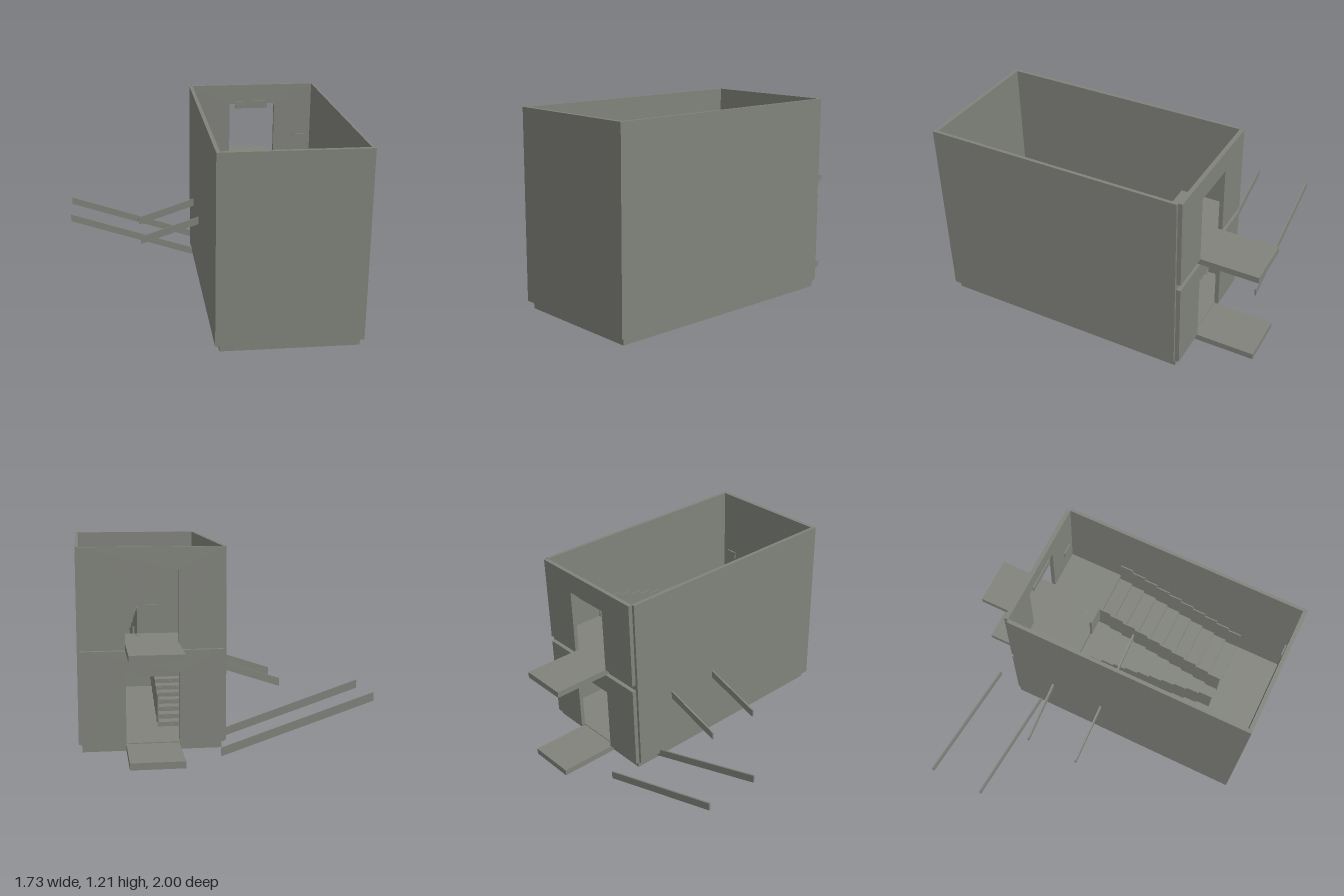
import * as THREE from 'three';

const FLOOR = 0.045, MID = 0.345, UPPER = 0.645, TOP = 1.21;
const STEPS = 10, Z_BACK = -0.235, Z_FRONT = 0.67;
const DOOR_L = 0.265, DOOR_R = 0.58;

export function createModel() {
  const model = new THREE.Group();
  const concrete = new THREE.MeshStandardMaterial({ color: 0x80827b });
  concrete.name = 'concreteGrey';

  // Box given by its limits on each axis
  const box = (name, x0, x1, y0, y1, z0, z1, parent = model) => {
    const mesh = new THREE.Mesh(new THREE.BoxGeometry(x1 - x0, y1 - y0, z1 - z0), concrete);
    mesh.position.set((x0 + x1) / 2, (y0 + y1) / 2, (z0 + z1) / 2);
    mesh.name = name;
    parent.add(mesh);
    return mesh;
  };

  // Slabs, landings and entrance platforms
  box('baseSlab', 0.01, 0.84, 0, FLOOR, -0.605, 0.975);
  box('entrancePlatform', DOOR_L, DOOR_R, 0, 0.04, -1, -0.605);
  box('upperLanding', 0.005, 0.84, 0.605, UPPER, -0.605, Z_BACK);
  box('upperPlatform', DOOR_L, DOOR_R, 0.605, UPPER, -1, -0.605);
  box('middleLanding', 0.005, 0.84, MID - 0.04, MID, Z_FRONT, 0.975);

  // Outer walls
  box('rightWall', -0.018, 0.005, FLOOR, TOP, -0.605, 1);
  box('leftWall', 0.84, 0.86, FLOOR, TOP, -0.605, 1);
  box('frontWall', 0.005, 0.84, FLOOR, TOP, 0.975, 1);

  // Back wall: one panel with a doorway per storey
  const backPanel = (name, y0, y1, doorTop) => {
    const s = new THREE.Shape();
    s.moveTo(0, y0);
    for (const [x, y] of [[DOOR_L, y0], [DOOR_L, doorTop], [DOOR_R, doorTop], [DOOR_R, y0],
      [0.845, y0], [0.845, y1], [0, y1]]) s.lineTo(x, y);
    const mesh = new THREE.Mesh(
      new THREE.ExtrudeGeometry(s, { depth: 0.027, bevelEnabled: false }), concrete);
    mesh.position.z = -0.632;
    mesh.name = name;
    model.add(mesh);
    // Bar hung under the door head
    box('doorHeadBar', 0.305, 0.53, doorTop - 0.03, doorTop + 0.02, -0.605, -0.597);
  };
  backPanel('lowerBackWall', FLOOR, 0.605, 0.475);
  backPanel('upperBackWall', UPPER, TOP, 1.075);

  // Flights: thin treads and risers, with a stepped balustrade along both sides
  const run = (Z_FRONT - Z_BACK) / STEPS;
  const rise = (MID - FLOOR) / (STEPS + 1);
  const flight = (name, x0, x1, startY, startZ, dir) => {
    const g = new THREE.Group();
    g.name = name;
    for (let i = 0; i < STEPS; i++) {
      const y = startY + rise * (i + 1);
      const za = startZ + dir * run * i, zb = za + dir * run;
      const z0 = Math.min(za, zb), z1 = Math.max(za, zb);
      box('tread', x0, x1, y - 0.01, y, z0, z1, g);
      box('riser', x0, x1, y - rise, y - 0.01, za - 0.003, za + 0.003, g);
      for (const x of [x0, x1 - 0.008])
        box('balustradePanel', x, x + 0.008, y, y + 0.18, z0, z1, g);
    }
    model.add(g);
  };
  flight('lowerFlight', 0.01, 0.365, FLOOR, Z_BACK, 1);
  flight('upperFlight', 0.48, 0.835, MID, Z_FRONT, -1);
  box('landingGuard', 0.36, 0.485, UPPER, UPPER + 0.18, Z_BACK, Z_BACK + 0.015);

  // Sloping stringers that run out through the side
  const stringer = (name, xa, ya, xb, yb, z) => {
    const s = new THREE.Shape();
    s.moveTo(xa, ya);
    s.lineTo(xb, yb);
    s.lineTo(xb, yb + 0.05);
    s.lineTo(xa, ya + 0.05);
    const mesh = new THREE.Mesh(
      new THREE.ExtrudeGeometry(s, { depth: 0.01, bevelEnabled: false }), concrete);
    mesh.position.z = z - 0.005;
    mesh.name = name;
    model.add(mesh);
  };
  for (const z of [-0.797, -0.44]) stringer('lowerStringer', -0.865, 0.305, 0.037, 0.003, z);
  for (const z of [-0.325, 0.03]) stringer('upperStringer', -0.398, 0.305, 0.503, 0.603, z);

  // Small wall plates by the landings
  box('frontWallPlate', 0.72, 0.8, 0.72, 0.77, 0.965, 0.975);
  box('backWallPlate', 0.72, 0.8, 0.8, 0.85, -0.605, -0.596);

  return model;
}
